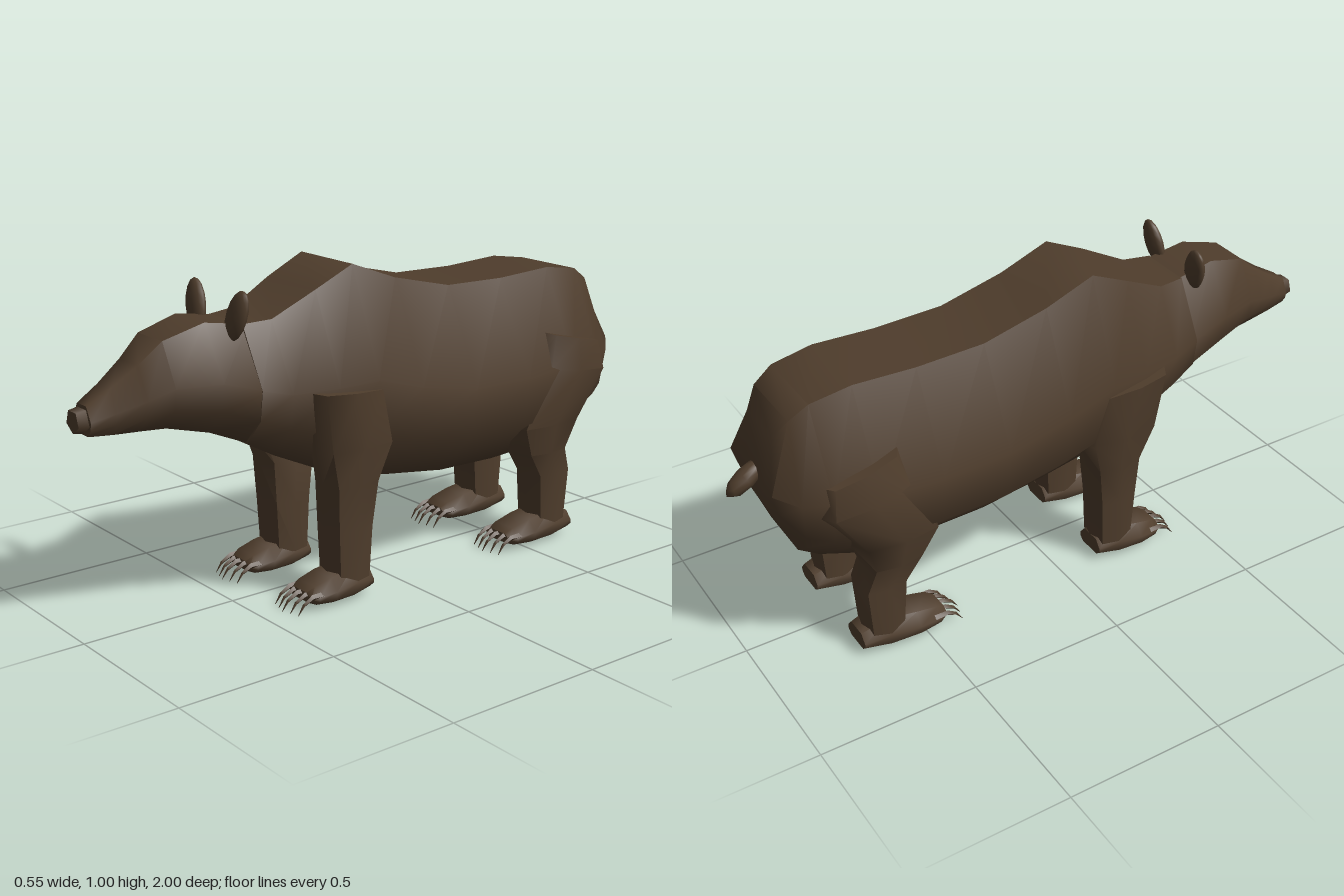
import * as THREE from 'three';
import { toCreasedNormals } from 'three/addons/utils/BufferGeometryUtils.js';

// Skin a list of equal-length rings and close both ends
function loft(rings, crease = 1.0) {
  const n = rings[0].length, pos = [], idx = [];
  rings.forEach(r => r.forEach(p => pos.push(...p)));
  for (let i = 0; i < rings.length - 1; i++)
    for (let j = 0; j < n; j++) {
      const a = i * n + j, b = i * n + (j + 1) % n;
      idx.push(a, b, b + n, a, b + n, a + n);
    }
  [0, rings.length - 1].forEach((i, end) => {
    const c = pos.length / 3;
    for (let k = 0; k < 3; k++) pos.push(rings[i].reduce((s, p) => s + p[k], 0) / n);
    for (let j = 0; j < n; j++) {
      const a = i * n + j, b = i * n + (j + 1) % n;
      end ? idx.push(c, a, b) : idx.push(c, b, a);
    }
  });
  // Turn the faces outward if the signed volume is negative
  const v = k => new THREE.Vector3(pos[k * 3], pos[k * 3 + 1], pos[k * 3 + 2]);
  let volume = 0;
  for (let t = 0; t < idx.length; t += 3)
    volume += v(idx[t]).dot(v(idx[t + 1]).cross(v(idx[t + 2])));
  if (volume < 0) idx.reverse();
  const g = new THREE.BufferGeometry();
  g.setAttribute('position', new THREE.Float32BufferAttribute(pos, 3));
  g.setIndex(idx);
  return toCreasedNormals(g, crease);
}

// Body ring: flat back, widest at mid height, narrow flat belly
const bodyRing = ([z, top, bottom, wTop, w, wBottom, lean = 0]) => {
  const mid = bottom + (top - bottom) * 0.5, low = bottom + (top - bottom) * 0.24;
  const half = [[wTop, top], [w, mid], [w * 0.93, low], [wBottom, bottom]];
  const at = (s, [x, y]) => [s * x, y, z - lean * (1 - Math.abs(y - mid) / (top - mid))];
  return [...half.map(p => at(1, p)), ...half.reverse().map(p => at(-1, p))];
};

// Limb ring: eight-sided oval, dropped by `drop` toward the outer/back side
const limbRing = ([y, x0, x1, z0, z1, slope = 0]) =>
  Array.from({ length: 8 }, (_, i) => {
    const a = i * Math.PI / 4, c = Math.cos(a), s = Math.sin(a);
    const q = (i % 2) ? 1.12 : 1;
    return [(x0 + x1) / 2 + c * q * (x1 - x0) / 2, y + slope * s, (z0 + z1) / 2 + s * q * (z1 - z0) / 2];
  });

// Foot ring across z
const footRing = ([z, y0, y1, w]) =>
  [[-w, y0 + 0.015], [-w, (y0 + y1) / 2], [-w * 0.6, y1], [w * 0.6, y1],
    [w, (y0 + y1) / 2], [w, y0 + 0.015], [w * 0.7, y0], [-w * 0.7, y0]].map(([x, y]) => [x, y, z]);

// Columns: z, top, bottom, top half width, half width, bottom half width, lean
const BODY = [
  [-0.88, 0.78, 0.48, 0.08, 0.14, 0.07, 0.04],
  [-0.84, 0.835, 0.38, 0.11, 0.2, 0.09, 0.02],
  [-0.78, 0.875, 0.345, 0.12, 0.24, 0.1],
  [-0.65, 0.895, 0.295, 0.125, 0.262, 0.1],
  [-0.45, 0.885, 0.285, 0.125, 0.268, 0.1],
  [-0.23, 0.89, 0.29, 0.125, 0.268, 0.1],
  [-0.02, 0.94, 0.32, 0.125, 0.262, 0.1],
  [0.14, 1.0, 0.35, 0.125, 0.252, 0.1],
  [0.27, 0.94, 0.4, 0.12, 0.235, 0.1],
  [0.41, 0.87, 0.465, 0.1, 0.2, 0.1],
  [0.5, 0.865, 0.515, 0.085, 0.18, 0.095],
];
const HEAD = [
  [0.48, 0.862, 0.51, 0.08, 0.18, 0.09],
  [0.62, 0.885, 0.57, 0.075, 0.168, 0.085],
  [0.75, 0.85, 0.603, 0.065, 0.13, 0.07],
  [0.82, 0.79, 0.606, 0.05, 0.1, 0.06],
  [0.9, 0.735, 0.607, 0.035, 0.068, 0.045],
  [0.97, 0.695, 0.61, 0.025, 0.048, 0.03],
];
// Columns: y, inner x, outer x, back z, front z, slope
const FORELEG = [
  [0.655, 0.15, 0.265, 0.1, 0.355, 0.01],
  [0.48, 0.12, 0.258, 0.055, 0.33],
  [0.36, 0.09, 0.238, 0.1, 0.285],
  [0.22, 0.09, 0.23, 0.12, 0.275],
  [0.06, 0.092, 0.225, 0.13, 0.265],
];
const HINDLEG = [
  [0.68, 0.14, 0.255, -0.8, -0.56, 0.03],
  [0.58, 0.13, 0.275, -0.82, -0.52, 0.02],
  [0.41, 0.1, 0.262, -0.72, -0.435],
  [0.31, 0.092, 0.24, -0.68, -0.49],
  [0.23, 0.09, 0.23, -0.705, -0.545],
  [0.06, 0.092, 0.225, -0.69, -0.56],
];

export function createModel() {
  const fur = new THREE.MeshStandardMaterial({ color: 0x4f3d2c });
  fur.name = 'darkBrownFur';
  const model = new THREE.Group();
  model.name = 'bear';
  const add = (parent, name, geometry) => {
    const mesh = new THREE.Mesh(geometry, fur);
    mesh.name = name;
    parent.add(mesh);
    return mesh;
  };

  // Trunk, head and nose
  const rump = bodyRing([-0.91, 0.7, 0.55, 0.04, 0.07, 0.04]);
  add(model, 'body', loft([rump, ...BODY.map(bodyRing)]));
  add(model, 'head', loft(HEAD.map(bodyRing)));
  const nose = add(model, 'nose', new THREE.CylinderGeometry(0.036, 0.044, 0.04, 5).rotateX(Math.PI / 2));
  nose.rotation.z = Math.PI;
  nose.rotation.z = 0;
  nose.scale.y = -1;
  nose.scale.y = 0.95;
  nose.position.set(0, 0.652, 0.98);

  // Tail
  const tail = add(model, 'tail', new THREE.SphereGeometry(1, 8, 6));
  tail.scale.set(0.034, 0.03, 0.075);
  tail.position.set(0, 0.618, -0.937);
  tail.rotation.x = -0.6;

  // Foot with five curved claws, toes toward +z
  const makeFoot = (name, length) => {
    const foot = new THREE.Group();
    foot.name = name;
    add(foot, 'paw', loft([
      [0, 0.02, 0.075, 0.055], [length * 0.3, 0.01, 0.1, 0.068],
      [length * 0.65, 0.01, 0.085, 0.074], [length * 0.9, 0.015, 0.07, 0.068],
      [length, 0.025, 0.055, 0.055],
    ].map(footRing)));
    for (let i = -2; i <= 2; i++) {
      const z = length - Math.abs(i) * 0.008;
      const ring = (dz, y, r) => [0, 1, 2, 3].map(k => [
        i * 0.029 + r * Math.cos(k * Math.PI / 2), y + r * Math.sin(k * Math.PI / 2), z + dz]);
      add(foot, 'claw', loft([ring(-0.03, 0.045, 0.011), ring(0.015, 0.046, 0.009),
        ring(0.045, 0.03, 0.006), ring(0.066, 0.002, 0.0012)]));
    }
    return foot;
  };

  // Mirrored limbs and ears
  for (const s of [1, -1]) {
    const side = s > 0 ? 'left' : 'right';
    const flip = ring => ring.map(([x, y, z]) => [s * x, y, z]);
    add(model, side + 'FrontLeg', loft(FORELEG.map(r => flip(limbRing(r)))));
    add(model, side + 'HindLeg', loft(HINDLEG.map(r => flip(limbRing(r)))));

    const frontFoot = makeFoot(side + 'FrontFoot', 0.235);
    frontFoot.position.set(s * 0.16, 0, 0.13);
    const hindFoot = makeFoot(side + 'HindFoot', 0.28);
    hindFoot.position.set(s * 0.16, 0, -0.71);
    model.add(frontFoot, hindFoot);

    const ear = add(model, side + 'Ear', new THREE.SphereGeometry(1, 10, 8));
    ear.scale.set(0.042, 0.078, 0.022);
    ear.position.set(s * 0.105, 0.895, 0.532);
    ear.rotation.set(-0.15, 0, -s * 0.3);
  }
  return model;
}
